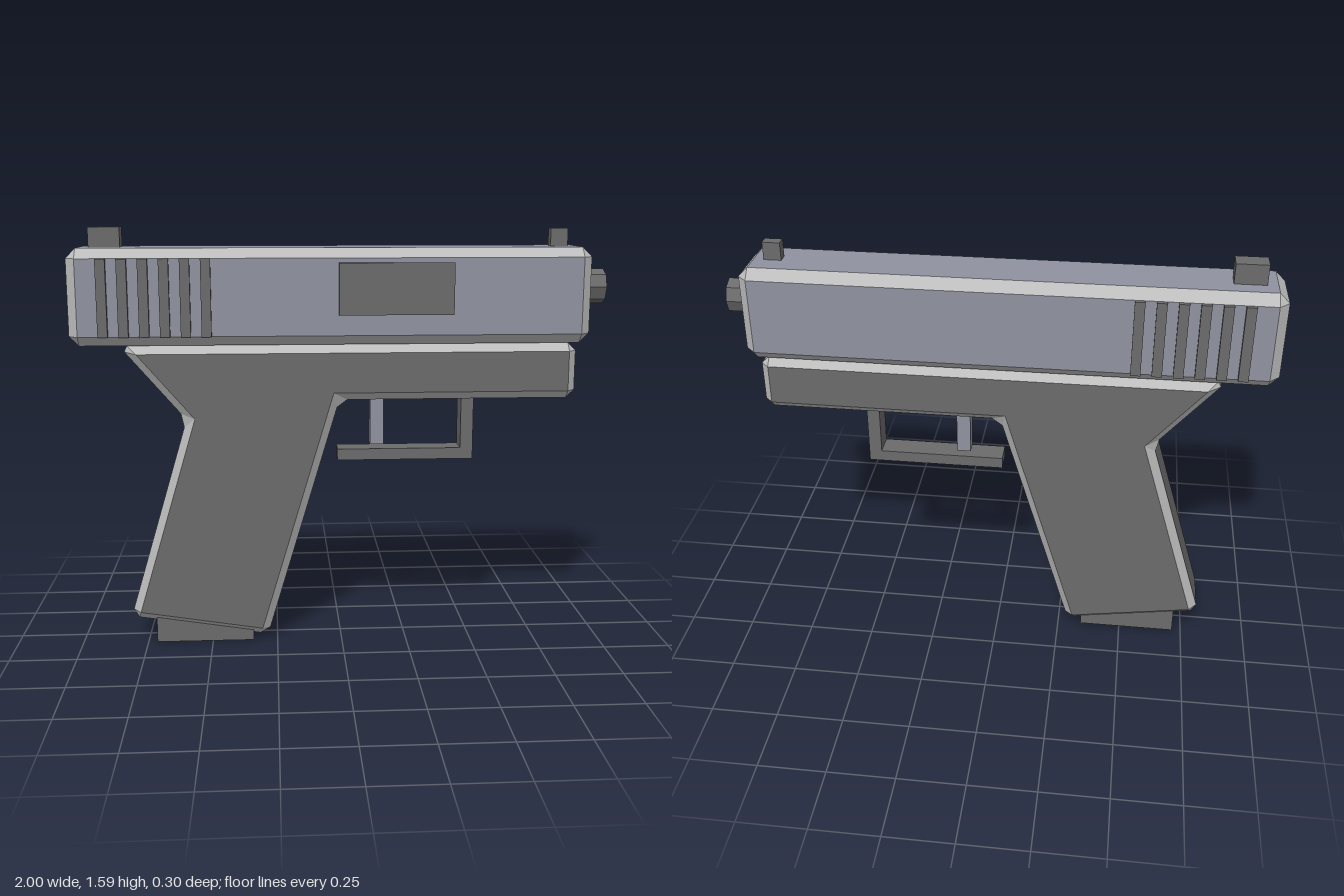
import * as THREE from 'three';

const slideMat = new THREE.MeshStandardMaterial({ color: 0x9092a0 });
slideMat.name = 'slide steel';
const frameMat = new THREE.MeshStandardMaterial({ color: 0x6b6b6b });
frameMat.name = 'dark grey';
const edgeMat = new THREE.MeshStandardMaterial({ color: 0xbcbcbc });
edgeMat.name = 'worn edge';

// Prism along z with every edge chamfered by c. "inner" is the counter-clockwise
// outline of the flat side; group 0 is the flat faces, group 1 the chamfers.
function chamferedPrism(inner, halfDepth, c) {
  const I = inner.map(([x, y]) => new THREE.Vector2(x, y));
  const n = I.length;
  const dir = I.map((p, i) => I[(i + 1) % n].clone().sub(p).normalize());
  const nor = dir.map((d) => new THREE.Vector2(d.y, -d.x));
  // mitred outer corners
  const P = I.map((p, i) => {
    const a = nor[(i + n - 1) % n], b = nor[i];
    return p.clone().addScaledVector(a.clone().add(b), c / (1 + a.dot(b)));
  });
  const start = P.map((p, i) => p.clone().addScaledVector(dir[i], c));
  const end = P.map((p, i) => P[(i + 1) % n].clone().addScaledVector(dir[i], -c));
  const flat = [], edge = [];
  const h = halfDepth, w = halfDepth - c;
  const tri = (out, ...pts) => pts.forEach(([p, z]) => out.push(p.x, p.y, z));
  const quad = (out, a, b, d, e) => { tri(out, a, b, d); tri(out, a, d, e); };

  for (const [a, b, d] of THREE.ShapeUtils.triangulateShape(I, [])) {
    tri(flat, [I[a], h], [I[b], h], [I[d], h]);
    tri(flat, [I[a], -h], [I[d], -h], [I[b], -h]);
  }
  for (let i = 0; i < n; i++) {
    const j = (i + 1) % n, s = start[i], e = end[i], t = start[j];
    quad(flat, [s, w], [s, -w], [e, -w], [e, w]);
    quad(edge, [I[i], h], [s, w], [e, w], [I[j], h]);
    quad(edge, [I[i], -h], [I[j], -h], [e, -w], [s, -w]);
    // chamfer across the corner to the next wall, with its two end triangles
    quad(edge, [e, w], [e, -w], [t, -w], [t, w]);
    tri(edge, [I[j], h], [e, w], [t, w]);
    tri(edge, [I[j], -h], [t, -w], [e, -w]);
  }
  const g = new THREE.BufferGeometry();
  g.setAttribute('position', new THREE.Float32BufferAttribute(flat.concat(edge), 3));
  g.addGroup(0, flat.length / 3, 0);
  g.addGroup(flat.length / 3, edge.length / 3, 1);
  g.computeVertexNormals();
  return g;
}

export function createModel() {
  const model = new THREE.Group();
  model.name = 'pistol';

  const add = (name, geometry, material) => {
    const mesh = new THREE.Mesh(geometry, material);
    mesh.name = name;
    model.add(mesh);
    return mesh;
  };
  // Box given by its limits on each axis
  const box = (name, material, x0, x1, y0, y1, z0, z1) => {
    const g = new THREE.BoxGeometry(x1 - x0, y1 - y0, z1 - z0);
    g.translate((x0 + x1) / 2, (y0 + y1) / 2, (z0 + z1) / 2);
    return add(name, g, material);
  };

  // Slide
  add('slide', chamferedPrism(
    [[-0.963, 1.192], [0.893, 1.192], [0.893, 1.475], [-0.963, 1.475]], 0.132, 0.036,
  ), [slideMat, edgeMat]);

  // Frame and grip in one piece
  add('frame', chamferedPrism([
    [-0.757, 1.125], [-0.548, 0.882], [-0.773, 0.128], [-0.307, 0.053],
    [-0.03, 0.975], [0.855, 0.975], [0.855, 1.125],
  ], 0.112, 0.03), [frameMat, edgeMat]);

  // Barrel end
  const barrel = new THREE.CylinderGeometry(0.065, 0.065, 0.12, 8).toNonIndexed();
  barrel.rotateZ(-Math.PI / 2);
  barrel.computeVertexNormals();
  add('barrel', barrel, frameMat).position.set(0.94, 1.36, 0);

  // Sights
  box('rearSight', frameMat, -0.925, -0.81, 1.49, 1.585, -0.036, 0.036);
  box('frontSight', frameMat, 0.79, 0.855, 1.49, 1.577, -0.02, 0.02);

  // Grip ribs on both sides of the slide
  for (let i = 0; i < 6; i++) {
    const x = -0.888 + i * 0.075;
    box('slideRibLeft', frameMat, x, x + 0.036, 1.192, 1.475, 0.12, 0.148);
    box('slideRibRight', frameMat, x, x + 0.036, 1.192, 1.475, -0.148, -0.12);
  }

  // Ejection port cover, on one side only
  box('ejectionPort', frameMat, -0.012, 0.412, 1.268, 1.458, 0.12, 0.148);

  // Trigger and its guard
  box('trigger', slideMat, 0.113, 0.165, 0.76, 0.96, -0.028, 0.028);
  box('guardBottom', frameMat, -0.012, 0.462, 0.703, 0.746, -0.045, 0.045);
  box('guardFront', frameMat, 0.46, 0.508, 0.703, 0.96, -0.045, 0.045);

  // Magazine base
  box('magazineBase', frameMat, -0.715, -0.342, 0, 0.1, -0.094, 0.094);

  return model;
}
